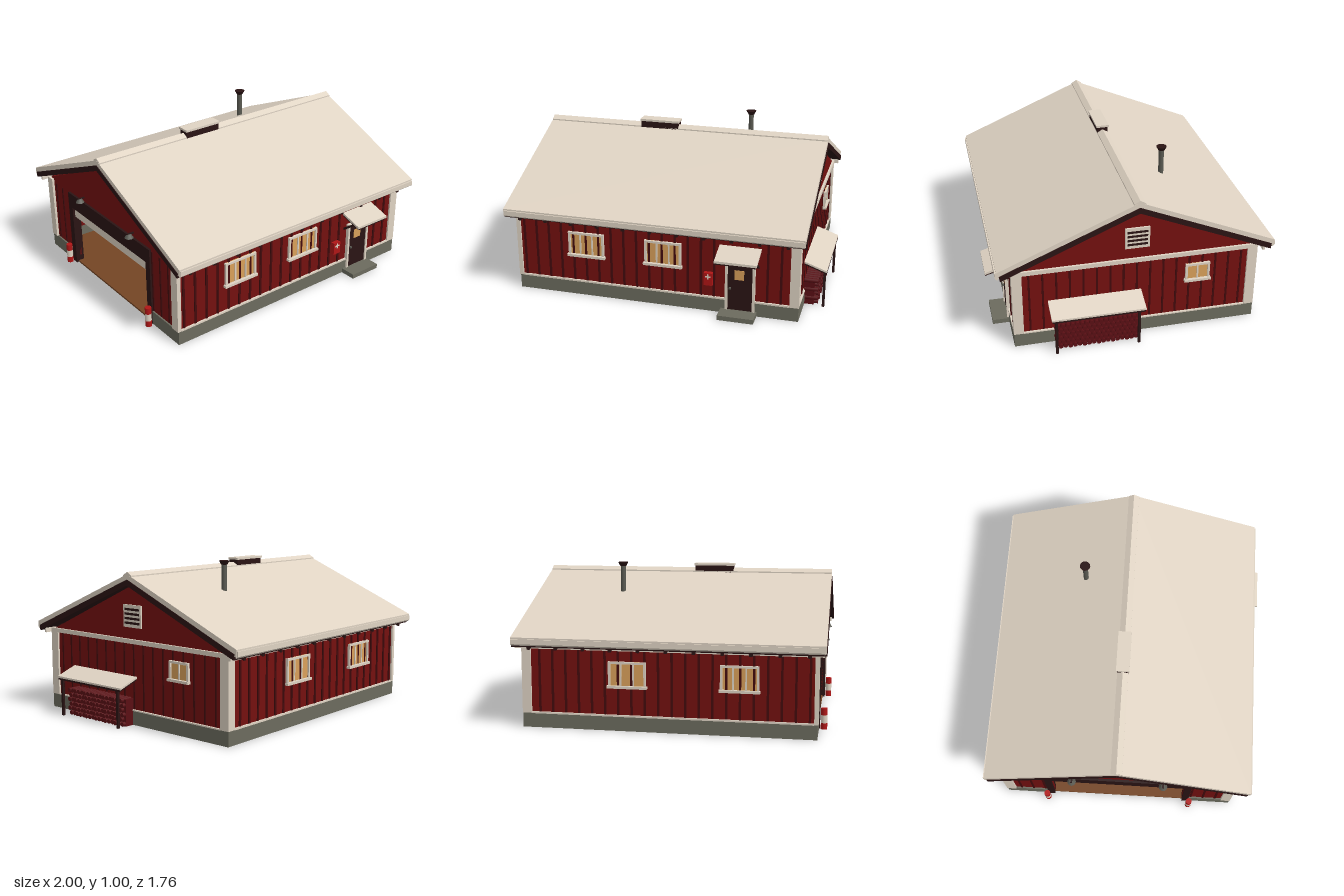
import * as THREE from 'three';

const mat = (name, color) => Object.assign(new THREE.MeshStandardMaterial({ color }), { name });

export function createModel() {
  const cream = mat('cream paint', 0xdfd3c3), red = mat('barn red', 0x74100f), batten = mat('batten red', 0x430a0c);
  const dark = mat('dark timber', 0x2a1414), stone = mat('concrete', 0x6c6b5e), glow = mat('lit glass', 0xd9a05a);
  const brown = mat('floor brown', 0x744524), signal = mat('signal red', 0xb01616);
  const metal = mat('grey metal', 0x5a5a52), logRed = mat('log red', 0x5a0f14);
  const root = new THREE.Group();
  root.name = 'farmGarage';
  const ZC = -0.015;

  const group = (name, parent = root) => {
    const g = new THREE.Group();
    g.name = name;
    parent.add(g);
    return g;
  };
  const add = (parent, name, geo, m) => {
    const mesh = new THREE.Mesh(geo, m);
    mesh.name = name;
    parent.add(mesh);
    return mesh;
  };
  // Box given by its limits on each axis
  const box = (p, name, m, x0, x1, y0, y1, z0, z1) => {
    const b = add(p, name, new THREE.BoxGeometry(x1 - x0, y1 - y0, z1 - z0), m);
    b.position.set((x0 + x1) / 2, (y0 + y1) / 2, (z0 + z1) / 2);
    return b;
  };
  // Prism along x from a [z, y] outline
  const prism = (p, name, m, pts, x0, x1) => {
    const shape = new THREE.Shape(pts.map(([z, y]) => new THREE.Vector2(-z, y)));
    const geo = new THREE.ExtrudeGeometry(shape, { depth: x1 - x0, bevelEnabled: false });
    geo.rotateY(Math.PI / 2).translate(x0, 0, 0);
    return add(p, name, geo, m);
  };
  const cyl = (p, name, m, r0, r1, h, x, y, z, sides = 12) => {
    const c = add(p, name, new THREE.CylinderGeometry(r0, r1, h, sides), m);
    c.position.set(x, y, z);
    return c;
  };

  // Floor and foundation
  const base = group('foundation');
  box(base, 'floor', brown, -0.94, 0.85, 0, 0.012, -0.765, 0.735);
  box(base, 'frontFooting', stone, -0.95, 0.866, 0, 0.09, 0.725, 0.75);
  box(base, 'backFooting', stone, -0.95, 0.866, 0, 0.09, -0.78, -0.755);
  box(base, 'rightFooting', stone, 0.841, 0.866, 0, 0.09, -0.755, 0.725);
  box(base, 'leftFootingBack', stone, -0.95, -0.925, 0, 0.09, -0.755, -0.46);
  box(base, 'leftFootingFront', stone, -0.95, -0.925, 0, 0.09, 0.43, 0.725);

  // Walls
  const walls = group('walls');
  box(walls, 'frontWall', red, -0.94, 0.855, 0.09, 0.53, 0.715, 0.74);
  box(walls, 'backWall', red, -0.94, 0.855, 0.09, 0.53, -0.77, -0.745);
  const gable = [[0.735, 0.53], [ZC, 0.87], [-0.765, 0.53]];
  prism(walls, 'rightWall', red, [[0.735, 0.09], ...gable, [-0.765, 0.09]], 0.83, 0.855);
  prism(walls, 'leftWall', red, [[0.735, 0.05], ...gable, [-0.765, 0.05], [-0.455, 0.05], [-0.455, 0.42],
    [0.425, 0.42], [0.425, 0.05]], -0.94, -0.915);

  // Vertical battens
  const strips = group('battens');
  for (let x = -0.905; x < 0.8; x += 0.083) {
    if (x < 0.41 || x > 0.6) box(strips, 'frontBatten', batten, x - 0.007, x + 0.007, 0.1, 0.5, 0.735, 0.747);
    box(strips, 'backBatten', batten, x - 0.007, x + 0.007, 0.1, 0.5, -0.777, -0.765);
  }
  for (let z = -0.68; z < 0.68; z += 0.083) {
    box(strips, 'rightBatten', batten, 0.85, 0.86, 0.1, 0.51, z - 0.006, z + 0.006);
    if (z < -0.5 || z > 0.47) box(strips, 'leftBatten', batten, -0.947, -0.935, 0.1, 0.51, z - 0.006, z + 0.006);
  }

  // Corner boards and trim bands
  const trim = group('trim');
  for (const [z0, z1] of [[0.69, 0.752], [-0.782, -0.72]]) {
    box(trim, 'rightCornerBoard', cream, 0.81, 0.868, 0.09, 0.53, z0, z1);
    box(trim, 'leftCornerBoard', cream, -0.956, -0.93, 0.09, 0.53, z0, z1);
  }
  box(trim, 'rightBand', cream, 0.85, 0.87, 0.508, 0.535, -0.78, 0.75);
  box(trim, 'frontSill', cream, -0.93, 0.81, 0.088, 0.099, 0.735, 0.752);
  box(trim, 'backSill', cream, -0.93, 0.81, 0.088, 0.099, -0.782, -0.765);
  box(trim, 'rightSill', cream, 0.85, 0.868, 0.088, 0.096, -0.72, 0.69);

  // Roof halves with dark decking, gutters and rafter tails
  const roof = group('roof');
  for (const s of [1, -1]) {
    const z = (d) => ZC + s * d;
    prism(roof, 'roofPanel', cream, [[z(0), 0.937], [z(0.855), 0.575], [z(0.855), 0.53], [z(0), 0.892]], -0.996, 0.904);
    prism(roof, 'roofDeck', dark, [[z(0), 0.905], [z(0.84), 0.549], [z(0.835), 0.514], [z(0), 0.868]], -1, 0.908);
    prism(roof, 'gutter', cream, [[z(0.845), 0.565], [z(0.863), 0.565], [z(0.863), 0.535], [z(0.852), 0.525],
      [z(0.845), 0.525]], -0.99, 0.9);
    prism(roof, 'eaveBoard', cream, [[z(0.79), 0.535], [z(0.805), 0.53], [z(0.805), 0.502], [z(0.79), 0.502]], -0.985, 0.895);
    for (let i = 0; i < 11; i++) {
      const x = -0.9 + i * 0.17;
      prism(roof, 'rafterTail', dark, [[z(0.74), 0.56], [z(0.83), 0.52], [z(0.83), 0.498], [z(0.74), 0.535]], x - 0.01, x + 0.01);
    }
  }
  prism(roof, 'ridgeCap', cream, [[ZC - 0.035, 0.93], [ZC, 0.951], [ZC + 0.035, 0.93], [ZC + 0.035, 0.913],
    [ZC - 0.035, 0.913]], -0.995, 0.903);
  box(roof, 'ridgeVentBody', dark, -0.35, -0.095, 0.92, 0.966, -0.05, 0.02);
  box(roof, 'ridgeVentLid', cream, -0.355, -0.09, 0.966, 0.98, -0.057, 0.027);

  // Stove pipe
  const pipe = group('stovePipe');
  cyl(pipe, 'flue', metal, 0.017, 0.017, 0.2, 0.337, 0.885, -0.3);
  cyl(pipe, 'flueCap', dark, 0.034, 0.02, 0.025, 0.337, 0.9875, -0.3);

  // Window facing local +z, placed by centre and turn
  const windowAt = (name, x, y, z, turn, w, h, bars) => {
    const g = group(name);
    const a = w / 2, b = h / 2;
    box(g, 'glass', glow, -a + 0.01, a - 0.01, -b, b, -0.004, 0.004);
    for (const s of [-1, 1]) {
      box(g, 'sideFrame', cream, s * (a - 0.007) - 0.007, s * (a - 0.007) + 0.007, -b, b, -0.004, 0.014);
    }
    box(g, 'headFrame', cream, -a, a, b - 0.014, b, -0.004, 0.015);
    box(g, 'ledge', cream, -a - 0.007, a + 0.007, -b - 0.004, -b + 0.012, -0.004, 0.024);
    for (let i = 1; i <= bars; i++) {
      const bx = -a + (w * i) / (bars + 1);
      box(g, 'mullion', cream, bx - 0.005, bx + 0.005, -b, b, -0.004, 0.01);
    }
    g.position.set(x, y, z);
    g.rotation.y = turn;
  };
  windowAt('frontWindow', -0.487, 0.35, 0.742, 0, 0.235, 0.16, 2);
  windowAt('frontWindow', 0.015, 0.35, 0.742, 0, 0.235, 0.16, 2);
  windowAt('backWindow', -0.487, 0.35, -0.772, Math.PI, 0.235, 0.16, 2);
  windowAt('backWindow', 0.2, 0.35, -0.772, Math.PI, 0.235, 0.16, 2);
  windowAt('rightWindow', 0.857, 0.385, -0.4, Math.PI / 2, 0.155, 0.12, 1);

  // Louvred vent on the right gable
  const vent = group('gableVent');
  box(vent, 'ventFrame', cream, 0.85, 0.866, 0.608, 0.747, -0.09, 0.062);
  for (let i = 0; i < 4; i++) {
    box(vent, 'slot', dark, 0.86, 0.868, 0.628 + i * 0.028, 0.642 + i * 0.028, -0.077, 0.049);
  }

  // Front door, canopy and step
  const door = group('frontDoor');
  box(door, 'doorLeaf', dark, 0.425, 0.585, 0.03, 0.34, 0.735, 0.754);
  box(door, 'doorGlass', glow, 0.47, 0.53, 0.235, 0.298, 0.75, 0.757);
  box(door, 'doorHandle', metal, 0.438, 0.45, 0.17, 0.182, 0.75, 0.766);
  box(door, 'doorJamb', cream, 0.412, 0.428, 0.03, 0.354, 0.735, 0.762);
  box(door, 'doorJamb', cream, 0.582, 0.598, 0.03, 0.354, 0.735, 0.762);
  box(door, 'doorHead', cream, 0.412, 0.598, 0.337, 0.354, 0.735, 0.763);
  box(door, 'step', stone, 0.385, 0.61, 0, 0.03, 0.74, 0.855);
  prism(door, 'canopy', cream, [[0.74, 0.45], [0.885, 0.405], [0.885, 0.39], [0.74, 0.435]], 0.372, 0.63);
  prism(door, 'canopyDeck', dark, [[0.74, 0.436], [0.883, 0.392], [0.883, 0.382], [0.74, 0.424]], 0.376, 0.626);
  for (const x of [0.39, 0.61]) {
    prism(door, 'canopyBracket', dark, [[0.745, 0.34], [0.83, 0.4], [0.83, 0.385], [0.745, 0.322]], x - 0.009, x + 0.009);
  }

  // First aid box
  const aid = group('aidBox');
  box(aid, 'boxBody', signal, 0.28, 0.335, 0.18, 0.262, 0.735, 0.768);
  box(aid, 'crossUpright', cream, 0.303, 0.312, 0.222, 0.256, 0.766, 0.771);
  box(aid, 'crossBar', cream, 0.29, 0.325, 0.2345, 0.2435, 0.766, 0.7705);

  // Vehicle opening on the left end
  const bay = group('garageBay');
  box(bay, 'header', dark, -0.955, -0.91, 0.42, 0.52, -0.5, 0.47);
  box(bay, 'jamb', dark, -0.955, -0.9, 0, 0.42, -0.5, -0.455);
  box(bay, 'jamb', dark, -0.955, -0.9, 0, 0.42, 0.425, 0.47);
  box(bay, 'raisedDoorEdge', cream, -0.94, -0.92, 0.35, 0.42, -0.455, 0.425);
  box(bay, 'raisedDoor', cream, -0.92, -0.5, 0.4, 0.415, -0.455, 0.425);
  for (const z of [-0.31, 0.28]) {
    box(bay, 'lampArm', dark, -0.985, -0.935, 0.548, 0.556, z - 0.006, z + 0.006);
    cyl(bay, 'lampShade', metal, 0.012, 0.028, 0.025, -0.972, 0.54, z);
  }

  // Striped bollards beside the opening
  for (const z of [-0.5, 0.47]) {
    const post = group('bollard');
    cyl(post, 'lowerBand', signal, 0.02, 0.02, 0.04, -0.98, 0.02, z);
    cyl(post, 'paleBand', cream, 0.02, 0.02, 0.05, -0.98, 0.065, z);
    cyl(post, 'upperBand', signal, 0.02, 0.02, 0.042, -0.98, 0.111, z);
  }

  // Lean-to with stacked logs on the right end
  const shed = group('woodShelter');
  const slope = (name, m, y, t, z0, z1) => {
    const shape = new THREE.Shape([[0.86, y], [1, y - 0.05], [1, y - 0.05 - t], [0.86, y - t]].map((q) => new THREE.Vector2(...q)));
    add(shed, name, new THREE.ExtrudeGeometry(shape, { depth: z1 - z0, bevelEnabled: false }).translate(0, 0, z0), m);
  };
  slope('shelterRoof', cream, 0.306, 0.012, -0.043, 0.537);
  slope('shelterDeck', dark, 0.295, 0.012, -0.038, 0.532);
  for (const z of [0.508, -0.003]) box(shed, 'shelterPost', dark, 0.978, 0.993, 0, 0.24, z - 0.008, z + 0.008);
  box(shed, 'stackCore', logRed, 0.86, 0.925, 0, 0.168, -0.01, 0.5);
  for (let row = 0; row < 6; row++) {
    for (let i = 0; i < 17; i++) {
      const len = 0.084 + 0.006 * ((i * 7 + row * 3) % 3) / 2;
      const log = cyl(shed, 'log', logRed, 0.0146, 0.0146, len, 0.862 + len / 2, 0.015 + row * 0.0292,
        0.005 + i * 0.0295 + (row % 2) * 0.014, 8);
      log.rotation.z = Math.PI / 2;
    }
  }
  return root;
}
